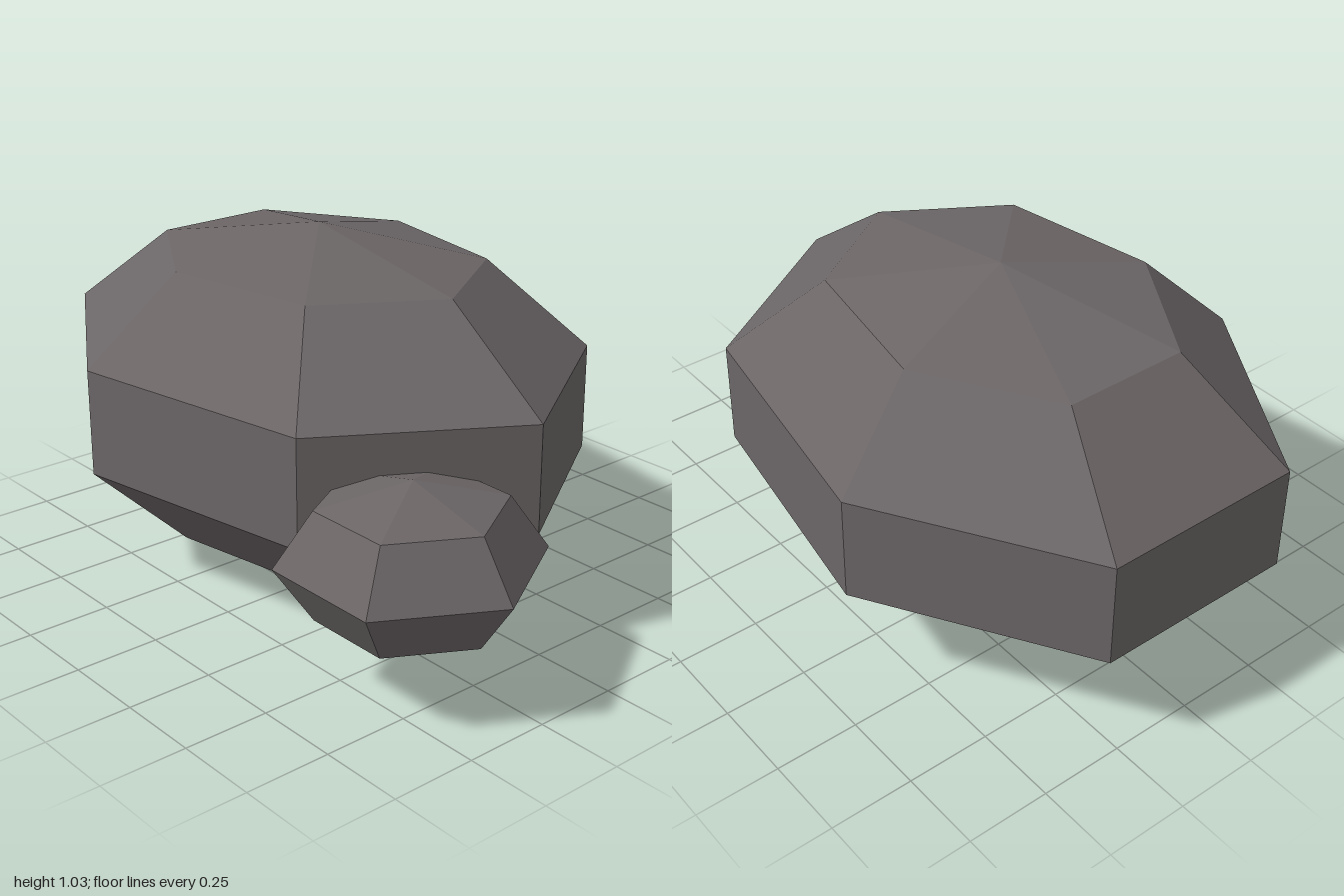
import * as THREE from 'three';

export function createModel() {
  const group = new THREE.Group();
  group.name = 'rocks';

  const stone = new THREE.MeshStandardMaterial({ color: 0x6b6566, flatShading: true });
  stone.name = 'stone grey';

  // A rock is a coarse faceted sphere, squashed, with one corner facing +x
  function addRock(name, sides, rings, radii, position) {
    const geometry = new THREE.SphereGeometry(1, sides, rings);
    geometry.rotateY(Math.PI);
    geometry.scale(...radii);
    const rock = new THREE.Mesh(geometry, stone);
    rock.name = name;
    rock.position.set(...position);
    group.add(rock);
  }

  addRock('largeRock', 7, 5, [0.96, 0.514, 0.737], [-0.183, 0.517, 0]);
  addRock('smallRock', 6, 4, [0.365, 0.22, 0.365], [0.63, 0.371, 0.365]);

  return group;
}
